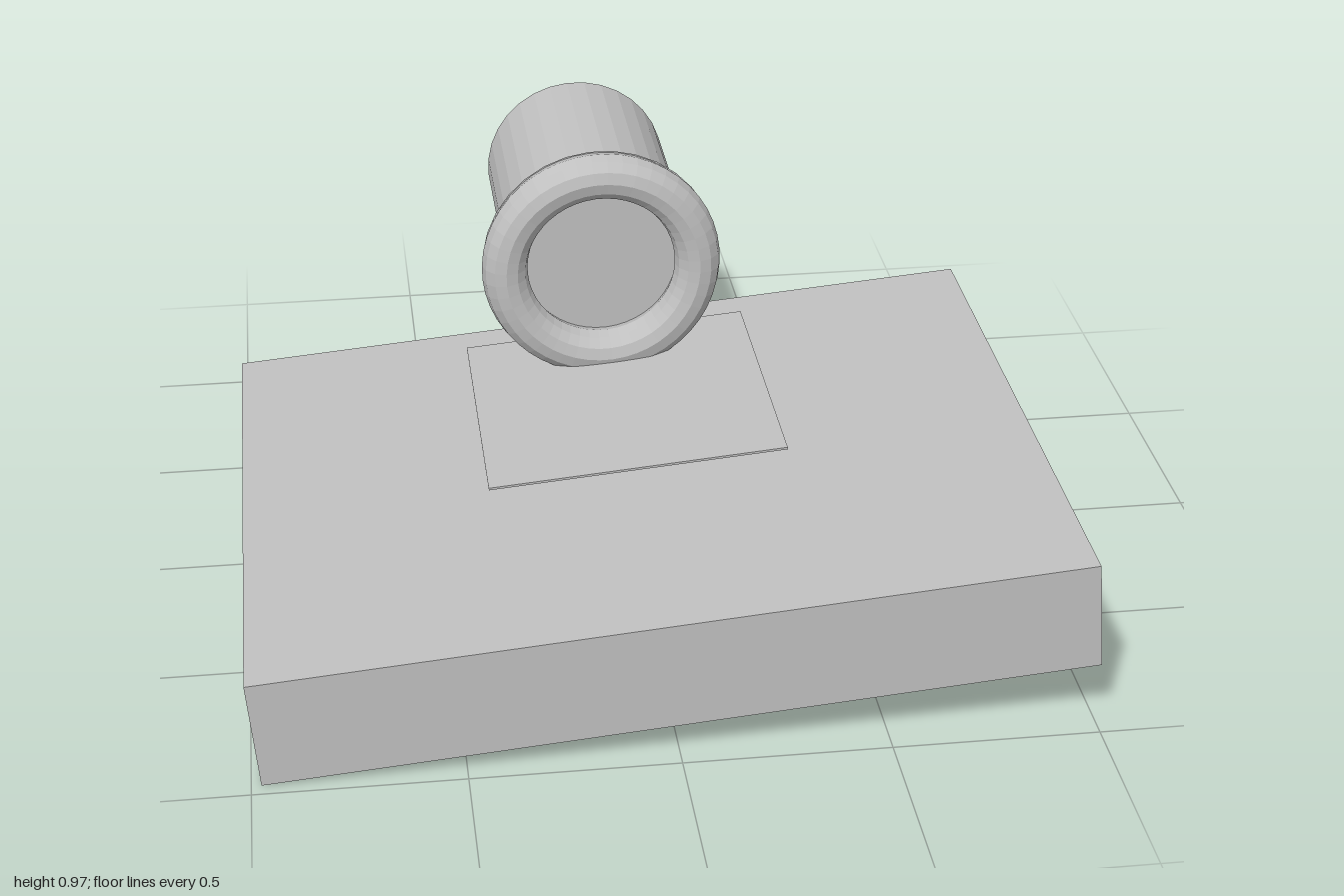
import * as THREE from 'three';

export function createModel() {
  const grey = new THREE.MeshStandardMaterial({ color: 0xc0c0c0 });
  grey.name = 'plain grey';
  grey.flatShading = true;
  const tilt = THREE.MathUtils.degToRad(4.9);
  const model = new THREE.Group();
  model.name = 'model';

  const add = (parent, name, geometry, x, y, z) => {
    const mesh = new THREE.Mesh(geometry, grey);
    mesh.name = name;
    mesh.position.set(x, y, z);
    parent.add(mesh);
    return mesh;
  };

  // Tilted slab and the thin square plate hovering just over it
  add(model, 'slab', new THREE.BoxGeometry(1.984, 0.277, 1.562), 0, 0.2227, 0.186).rotation.z = tilt;
  add(model, 'plate', new THREE.BoxGeometry(0.752, 0.006, 0.75), -0.015, 0.39, -0.075).rotation.z = tilt;

  // Horizontal barrel, flared collar and rounded rim sharing one axis along z
  const barrel = new THREE.Group();
  barrel.name = 'barrelAssembly';
  barrel.position.set(-0.037, 0.658, 0);
  barrel.rotation.z = tilt;
  model.add(barrel);

  const tube = (rFront, rBack, zFront, zBack) =>
    new THREE.CylinderGeometry(rFront, rBack, zFront - zBack, 32).rotateX(Math.PI / 2);
  add(barrel, 'barrel', tube(0.247, 0.247, -0.47, -0.967), 0, 0, -0.7185);
  add(barrel, 'collar', tube(0.311, 0.247, -0.345, -0.472), 0, 0, -0.4085);
  add(barrel, 'rim', new THREE.TorusGeometry(0.255, 0.06, 12, 48), 0, 0, -0.315);

  return model;
}
